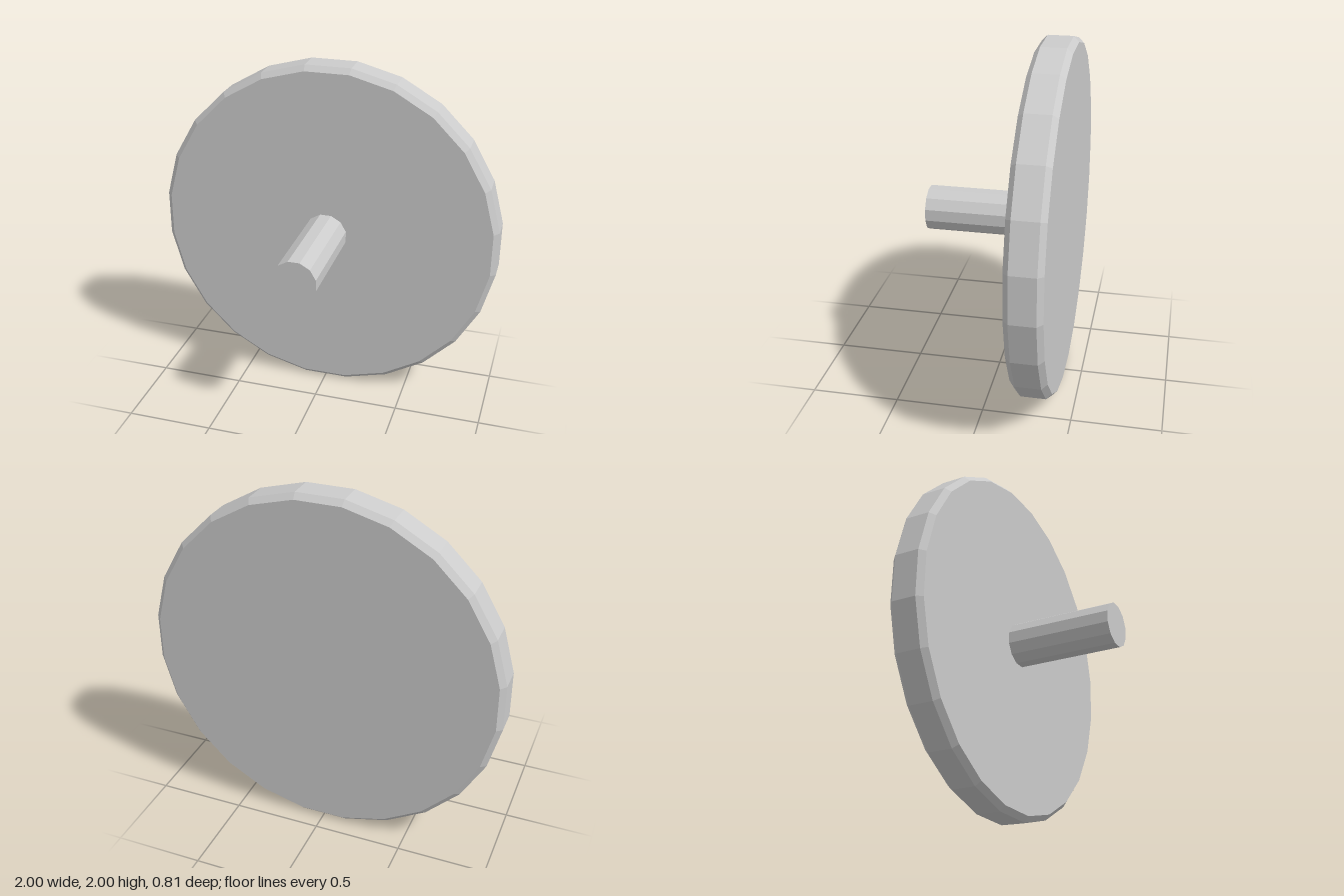
import * as THREE from 'three';

const material = new THREE.MeshStandardMaterial({ color: 0xcccccc, flatShading: true });

// Faceted solid turned about the z axis, with flats at top, bottom and sides.
// profile: [radius to the flats, z] from back to front
function turned(name, profile, sides) {
  const k = 1 / Math.cos(Math.PI / sides);
  const points = profile.map(([r, z]) => new THREE.Vector2(r * k, z));
  const geometry = new THREE.LatheGeometry(points, sides);
  geometry.rotateY(Math.PI / sides);
  geometry.rotateX(Math.PI / 2);
  const mesh = new THREE.Mesh(geometry, material);
  mesh.name = name;
  mesh.position.y = 1;
  return mesh;
}

export function createModel() {
  const group = new THREE.Group();
  group.name = 'discWithShaft';

  // Bevelled disc
  const back = -0.405, front = -0.205, bevel = 0.03;
  group.add(turned('disc', [
    [0, back], [1 - bevel, back], [1, back + bevel],
    [1, front - bevel], [1 - bevel, front], [0, front],
  ], 24));

  // Central shaft, seated on the front of the disc
  const radius = 0.123, tip = 0.405;
  group.add(turned('shaft', [
    [0, front - 0.02], [radius, front - 0.02], [radius, tip], [0, tip],
  ], 12));

  return group;
}
